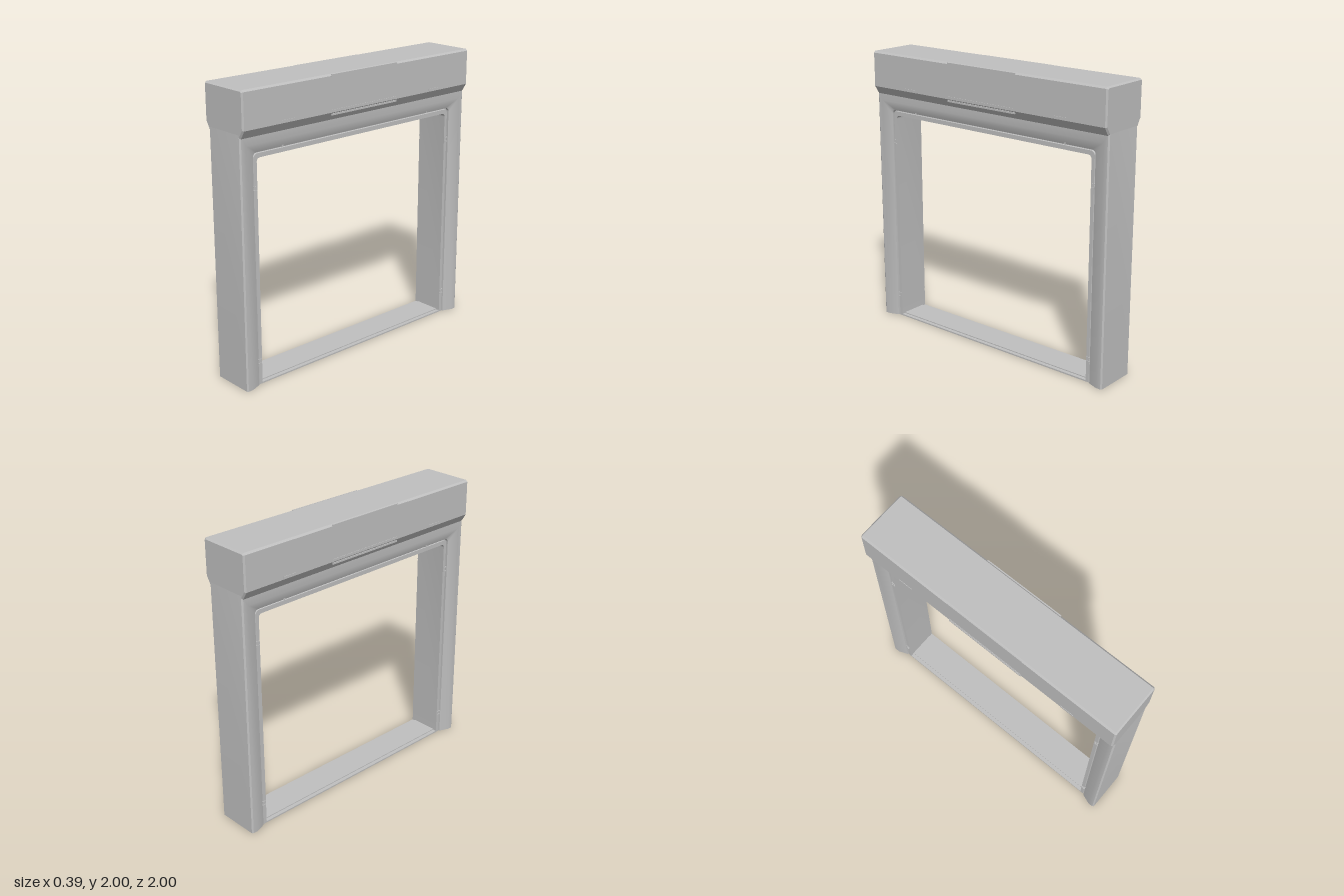
import * as THREE from 'three';
import { toCreasedNormals } from 'three/addons/utils/BufferGeometryUtils.js';

export function createModel() {
  const model = new THREE.Group();
  const grey = new THREE.MeshStandardMaterial({ color: 0xc0c0c0 });
  grey.name = 'light grey';

  const add = (name, geometry, x = 0, y = 0, z = 0) => {
    const mesh = new THREE.Mesh(geometry, grey);
    mesh.name = name;
    mesh.position.set(x, y, z);
    model.add(mesh);
    return mesh;
  };

  // Half cross-section of the frame, outside to opening:
  // half width x, jamb z, lintel y, corner radius
  const half = [
    [0.147, 1.0, 1.72, 0.001],
    [0.155, 0.99, 1.71, 0.001],
    [0.155, 0.955, 1.645, 0.001],
    [0.128, 0.884, 1.584, 0.03],
    [0.112, 0.882, 1.582, 0.03],
    [0.112, 0.876, 1.576, 0.03],
    [0.122, 0.874, 1.574, 0.03],
    [0.122, 0.85, 1.545, 0.025],
  ];
  const section = [...half, ...half.map(([x, z, y, r]) => [-x, z, y, r]).reverse()];

  // Up one jamb, across the lintel and down the other jamb
  const arcSteps = 6;
  const pathFor = ([x, z, y, r]) => {
    const side = [[x, 0, z]];
    for (let i = 0; i <= arcSteps; i++) {
      const a = (i / arcSteps) * Math.PI / 2;
      side.push([x, y - r + r * Math.sin(a), z - r + r * Math.cos(a)]);
    }
    return [...side, ...side.map(([px, py, pz]) => [px, py, -pz]).reverse()];
  };
  const rings = section.map(pathFor);
  const count = rings[0].length;
  const index = [];
  for (let k = 0; k < rings.length; k++) {
    const n = (k + 1) % rings.length;
    for (let i = 0; i < count - 1; i++) {
      const a = k * count + i, b = n * count + i;
      index.push(a, b, a + 1, b, b + 1, a + 1);
    }
  }
  const frame = new THREE.BufferGeometry();
  frame.setAttribute('position', new THREE.Float32BufferAttribute(rings.flat(2), 3));
  frame.setIndex(index);
  add('doorFrame', toCreasedNormals(frame, 0.5));

  // Closed undersides of the jambs
  for (const s of [1, -1]) {
    const foot = new THREE.Shape(section.map(([x, z]) => new THREE.Vector2(x, s * z)));
    add('jambFoot', new THREE.ShapeGeometry(foot).rotateX(Math.PI / 2));
  }

  // Header box with sloping shoulders and bevelled ends
  const edge = [[0.155, 1.695], [0.19, 1.75], [0.19, 1.988], [0.178, 2.0]];
  const outline = [...edge, ...edge.map(([x, y]) => [-x, y]).reverse()];
  const header = new THREE.ExtrudeGeometry(
    new THREE.Shape(outline.map(([x, y]) => new THREE.Vector2(x, y))),
    { depth: 1.98, bevelEnabled: true, bevelThickness: 0.01, bevelSize: 0.01, bevelOffset: -0.01, bevelSegments: 1 }
  );
  add('header', header.translate(0, 0, -0.99));

  // Threshold with a low raised centre
  add('threshold', new THREE.BoxGeometry(0.244, 0.01, 1.72), 0, 0.005, 0);
  add('thresholdTread', new THREE.BoxGeometry(0.19, 0.008, 1.7), 0, 0.012, 0);

  for (const s of [1, -1]) {
    // Grip lips and clips on the header faces
    add('upperLip', new THREE.BoxGeometry(0.008, 0.016, 0.58), s * 0.188, 1.99, 0);
    add('gripLip', new THREE.BoxGeometry(0.006, 0.006, 0.58), s * 0.19, 1.766, 0);
    add('lowerGripLip', new THREE.BoxGeometry(0.016, 0.012, 0.58), s * 0.184, 1.738, 0);
    for (const z of [0.65, -0.65]) {
      add('headerClip', new THREE.BoxGeometry(0.006, 0.016, 0.1), s * 0.19, 1.762, z);
      // Small pins above the opening
      const pin = new THREE.CylinderGeometry(0.007, 0.007, 0.014, 12).rotateZ(Math.PI / 2);
      add('lintelPin', pin, s * 0.126, 1.588, z);
    }
    // Seal retainers on the jambs
    for (const z of [0.867, -0.867])
      for (const y of [0.15, 0.178, 1.335, 1.363])
        add('sealRetainer', new THREE.BoxGeometry(0.016, 0.008, 0.028), s * 0.118, y, z);
  }
  return model;
}
